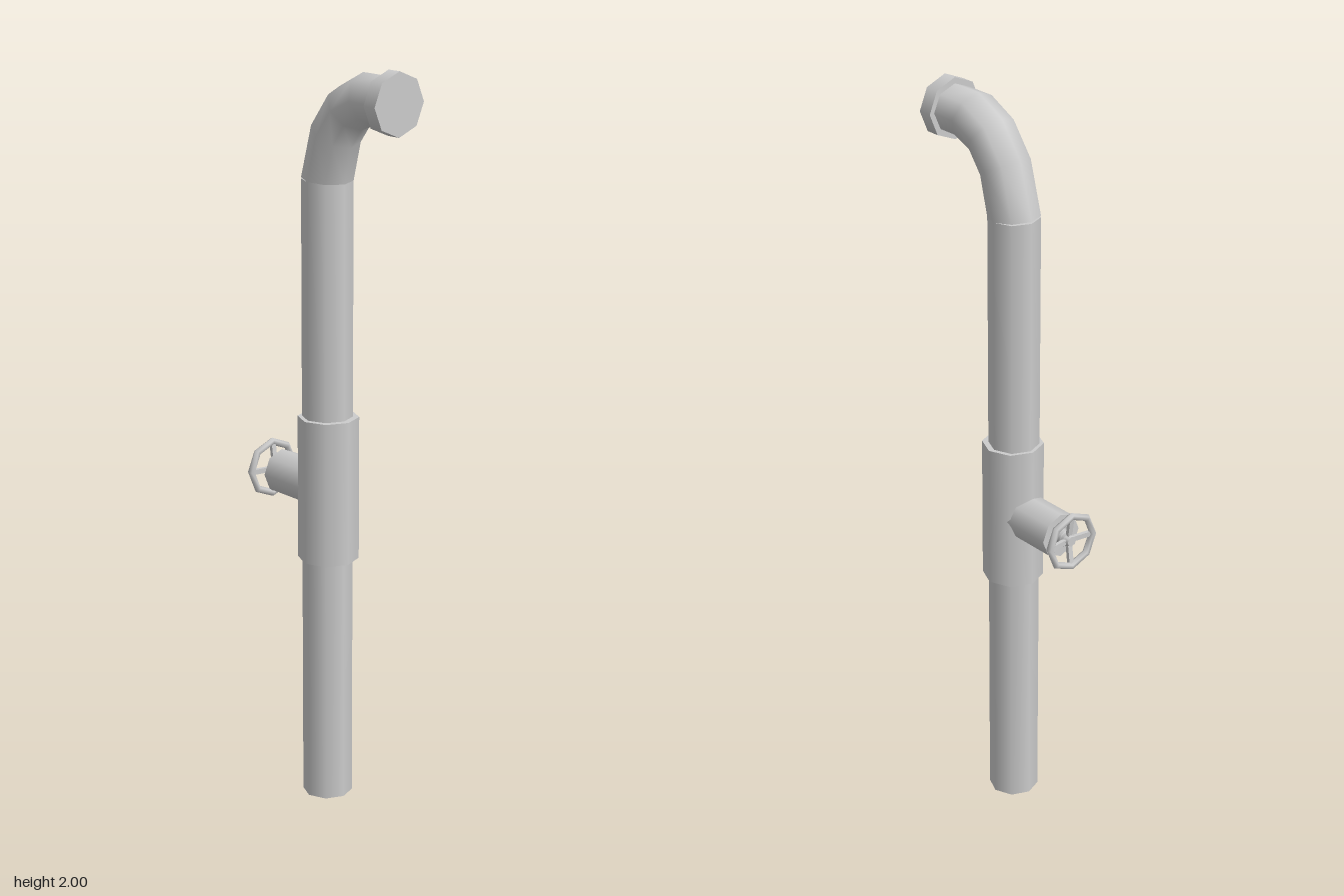
import * as THREE from 'three';

const material = new THREE.MeshStandardMaterial({ color: 0xcccccc });
const SIDES = 8;

function addMesh(parent, name, geometry, x = 0, y = 0, z = 0) {
  const mesh = new THREE.Mesh(geometry, material);
  mesh.name = name;
  mesh.position.set(x, y, z);
  parent.add(mesh);
  return mesh;
}

// Closed cylinder lying along x, from x0 to x1
function addCrossCylinder(parent, name, x0, x1, y, r0, r1 = r0) {
  const geometry = new THREE.CylinderGeometry(r1, r0, x1 - x0, SIDES).rotateZ(-Math.PI / 2);
  return addMesh(parent, name, geometry, (x0 + x1) / 2, y);
}

// Pipe skin through rings, each given by its outer and inner point in the xy plane
function pipeGeometry(rings, radius) {
  const positions = [], indices = [];
  const row = SIDES + 1;
  rings.forEach(([ox, oy, ix, iy]) => {
    for (let j = 0; j <= SIDES; j++) {
      const a = (j / SIDES) * Math.PI * 2;
      const t = (1 + Math.cos(a)) / 2;
      positions.push(ix + (ox - ix) * t, iy + (oy - iy) * t, Math.sin(a) * radius);
    }
  });
  for (let i = 0; i < rings.length - 1; i++) {
    for (let j = 0; j < SIDES; j++) {
      const a = i * row + j, b = a + 1, c = a + row, d = c + 1;
      indices.push(a, b, c, b, d, c);
    }
  }
  const geometry = new THREE.BufferGeometry();
  geometry.setAttribute('position', new THREE.Float32BufferAttribute(positions, 3));
  geometry.setIndex(indices);
  geometry.computeVertexNormals();
  // Share the normal across the seam of each ring
  const n = geometry.attributes.normal;
  for (let i = 0; i < rings.length; i++) {
    const a = i * row, b = a + SIDES;
    const v = new THREE.Vector3().fromBufferAttribute(n, a)
      .add(new THREE.Vector3().fromBufferAttribute(n, b)).normalize();
    n.setXYZ(a, v.x, v.y, v.z);
    n.setXYZ(b, v.x, v.y, v.z);
  }
  return geometry;
}

export function createModel() {
  const model = new THREE.Group();
  model.name = 'valvePipe';

  // Upright pipe and its bend towards +x
  const pipeX = -0.016, pipeR = 0.067;
  addMesh(model, 'uprightPipe', new THREE.CylinderGeometry(pipeR, pipeR, 1.7, SIDES), pipeX, 0.85);
  addMesh(model, 'pipeBend', pipeGeometry([
    [-0.083, 1.705, 0.051, 1.695],
    [-0.04, 1.85, 0.075, 1.79],
    [0.03, 1.94, 0.114, 1.84],
    [0.12, 1.985, 0.165, 1.858],
    [0.22, 1.985, 0.22, 1.858],
  ], pipeR));
  addCrossCylinder(model, 'endCap', 0.213, 0.253, 1.92, 0.081);

  // Valve body around the pipe, with its side branch
  addMesh(model, 'valveSleeve', new THREE.CylinderGeometry(0.081, 0.081, 0.392, SIDES), -0.012, 0.876);
  const valveY = 0.875;
  addCrossCylinder(model, 'valveBranch', -0.205, -0.03, valveY, 0.061);
  addCrossCylinder(model, 'valveStem', -0.235, -0.2, valveY, 0.021);

  // Hand wheel: hub, rim and four spokes sloping out to the rim
  const wheel = new THREE.Group();
  wheel.name = 'handWheel';
  wheel.position.set(-0.246, valveY, 0);
  model.add(wheel);
  addCrossCylinder(wheel, 'wheelHub', -0.002, 0.022, 0, 0.014, 0.022);
  addMesh(wheel, 'wheelRim', new THREE.TorusGeometry(0.073, 0.01, 6, SIDES).rotateY(Math.PI / 2));
  for (let i = 0; i < 4; i++) {
    const spoke = new THREE.BoxGeometry(0.01, 0.064, 0.014);
    spoke.rotateZ(0.14).translate(0.006, 0.04, 0).rotateX((i * Math.PI) / 2);
    addMesh(wheel, 'wheelSpoke', spoke);
  }
  return model;
}
